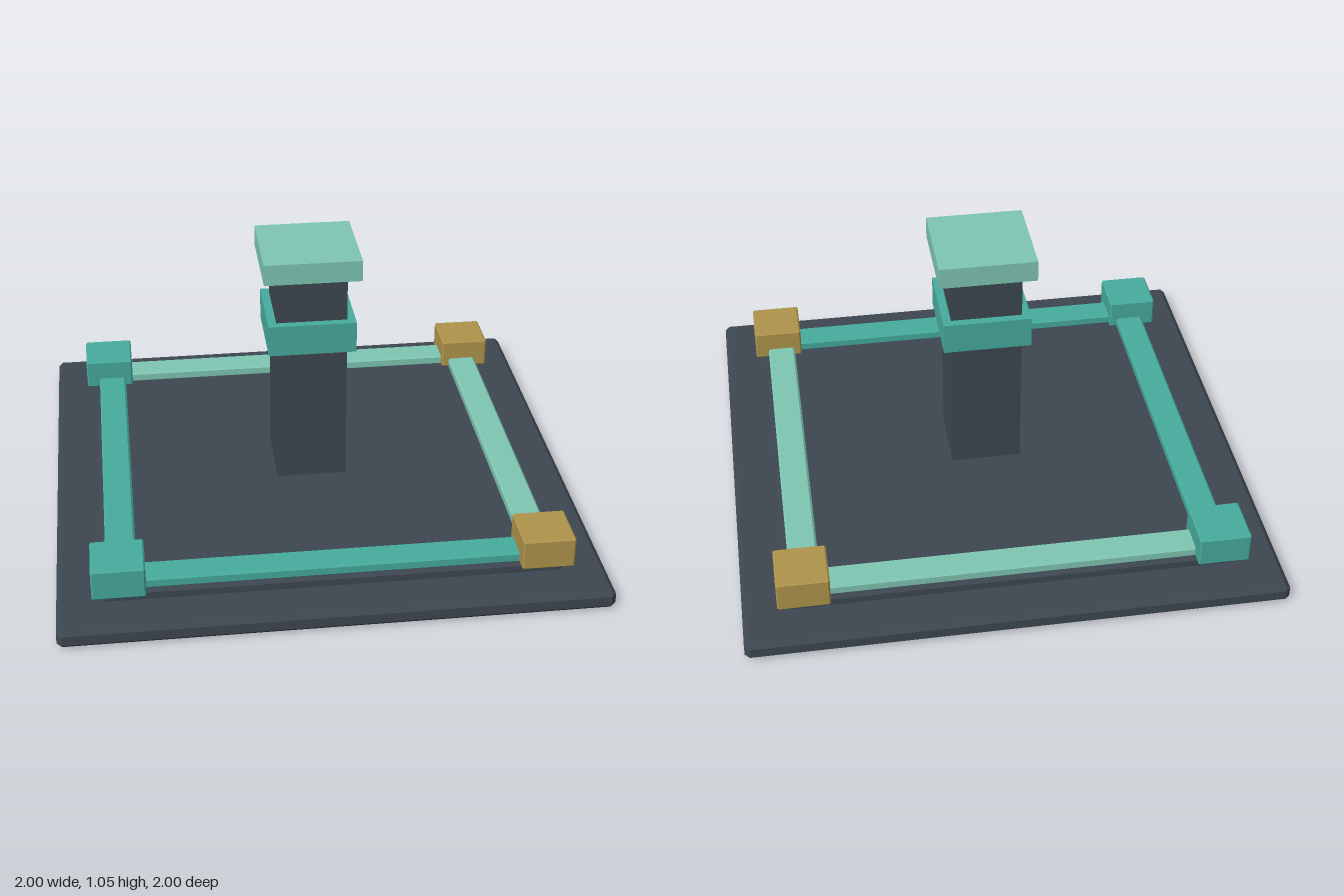
import * as THREE from 'three';
import { ConvexGeometry } from 'three/addons/geometries/ConvexGeometry.js';

function makeMaterial(name, color) {
  const m = new THREE.MeshStandardMaterial({ color });
  m.name = name;
  return m;
}

// Box with every edge cut by a flat chamfer c
function chamferBox(w, h, d, c) {
  const points = [];
  for (const sx of [-1, 1]) for (const sy of [-1, 1]) for (const sz of [-1, 1]) {
    const x = w / 2, y = h / 2, z = d / 2;
    points.push(
      new THREE.Vector3(sx * x, sy * (y - c), sz * (z - c)),
      new THREE.Vector3(sx * (x - c), sy * y, sz * (z - c)),
      new THREE.Vector3(sx * (x - c), sy * (y - c), sz * z)
    );
  }
  return new ConvexGeometry(points);
}

export function createModel() {
  const model = new THREE.Group();
  model.name = 'plinthWithColumn';

  const slate = makeMaterial('slate', 0x3d4750);
  const teal = makeMaterial('teal', 0x46ab9c);
  const mint = makeMaterial('mint', 0x7ec5b2);
  const gold = makeMaterial('gold', 0xae934b);

  // Block spanning y0..y1; chamfer 0 gives a plain box
  function block(name, material, w, d, y0, y1, x = 0, z = 0, chamfer = 0) {
    const h = y1 - y0;
    const geometry = chamfer ? chamferBox(w, h, d, chamfer) : new THREE.BoxGeometry(w, h, d);
    const mesh = new THREE.Mesh(geometry, material);
    mesh.name = name;
    mesh.position.set(x, y0 + h / 2, z);
    model.add(mesh);
  }

  // Stepped base
  block('baseSlab', slate, 2, 2, 0, 0.073, 0, 0, 0.018);
  block('upperSlab', slate, 1.67, 1.67, 0.06, 0.11, 0, 0, 0.01);

  // Border rails
  const railAt = 0.763, railWidth = 0.112, railLength = 1.42;
  block('frontRail', teal, railLength, railWidth, 0.105, 0.148, 0, railAt, 0.008);
  block('backRail', mint, railLength, railWidth, 0.105, 0.148, 0, -railAt, 0.008);
  block('leftRail', mint, railWidth, railLength, 0.105, 0.148, railAt, 0, 0.008);
  block('rightRail', teal, railWidth, railLength, 0.105, 0.148, -railAt, 0, 0.008);

  // Corner blocks
  for (const sx of [-1, 1]) for (const sz of [-1, 1]) {
    const name = (sz > 0 ? 'front' : 'back') + (sx > 0 ? 'Left' : 'Right') + 'Corner';
    block(name, sx > 0 ? gold : teal, 0.194, 0.194, 0.108, 0.228, sx * 0.775, sz * 0.775, 0.006);
  }

  // Central column with band and cap
  block('column', slate, 0.27, 0.27, 0.1, 0.975);
  block('columnBand', teal, 0.334, 0.334, 0.665, 0.787);
  block('columnCap', mint, 0.368, 0.368, 0.968, 1.05);

  return model;
}
